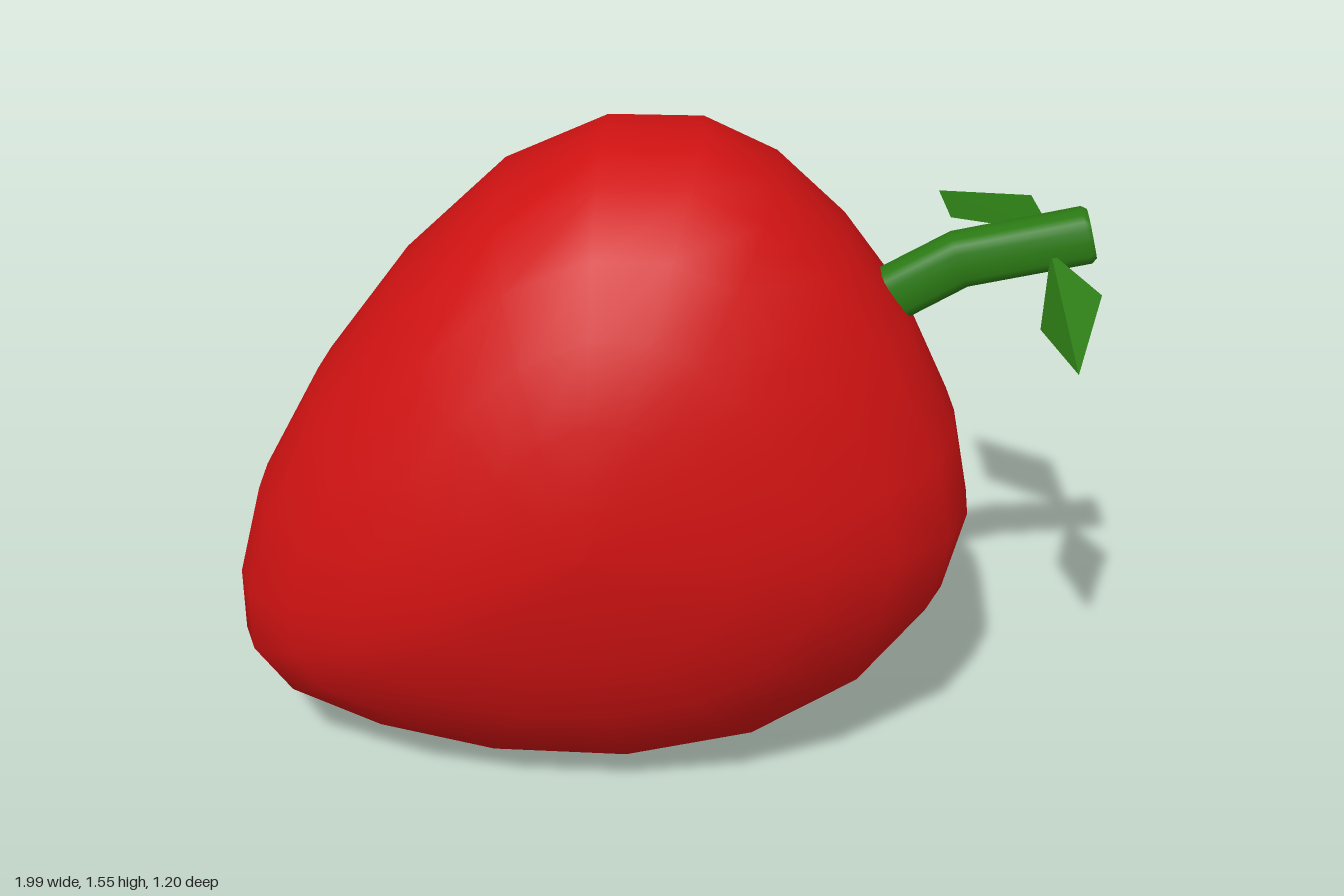
import * as THREE from 'three';

const red = new THREE.MeshStandardMaterial({ color: 0xd01212 });
const green = new THREE.MeshStandardMaterial({ color: 0x2b7a14 });
const leafGreen = new THREE.MeshStandardMaterial({ color: 0x2b7a14, side: THREE.DoubleSide });

// Skin closed rings of points into one surface; a repeated ring makes a crease
function loft(rings) {
  const n = rings[0].length, index = [];
  for (let i = 0; i < rings.length - 1; i++) {
    for (let j = 0; j < n; j++) {
      const a = i * n + j, b = i * n + (j + 1) % n;
      index.push(a, b, b + n, a, b + n, a + n);
    }
  }
  const geometry = new THREE.BufferGeometry().setFromPoints(rings.flat());
  geometry.setIndex(index);
  geometry.computeVertexNormals();
  return geometry;
}

function addMesh(group, name, geometry, material) {
  const mesh = new THREE.Mesh(geometry, material);
  mesh.name = name;
  group.add(mesh);
}

// Fruit: one leaning egg outline, shrunk towards its centre from front to back
function fruitGeometry() {
  const outline = [
    [-1, 0.45], [-1, 0.29], [-0.91, 0.17], [-0.69, 0.07], [-0.4, 0.005],
    [-0.06, 0], [0.26, 0.08], [0.52, 0.25], [0.68, 0.46], [0.73, 0.66],
    [0.69, 0.87], [0.57, 1.13], [0.43, 1.32], [0.27, 1.47], [0.1, 1.55],
    [-0.12, 1.55], [-0.36, 1.44], [-0.6, 1.21], [-0.8, 0.94], [-0.94, 0.68],
  ];
  const cx = -0.135, cy = 0.765;
  const sections = [ // z, scale
    [-0.6, 0], [-0.597, 0.14], [-0.57, 0.32], [-0.5, 0.52], [-0.38, 0.73], [-0.23, 0.905],
    [-0.09, 0.985], [0.03, 1], [0.15, 0.995], [0.285, 0.94], [0.41, 0.8], [0.505, 0.61],
    [0.565, 0.4], [0.595, 0.16], [0.6, 0],
  ];
  return loft(sections.map(([z, s]) => outline.map(([x, y]) =>
    new THREE.Vector3(cx + (x - cx) * s, cy + (y - cy) * s, z))));
}

// Stem: rounded-square section swept along a bent path, with flat ends
function stemGeometry() {
  const ring = (x, y, angle, size) => {
    const points = [];
    for (let j = 0; j < 16; j++) {
      const a = (j / 16) * Math.PI * 2;
      const round = (v) => Math.sign(v) * Math.pow(Math.abs(v), 0.7) * size;
      const u = round(Math.cos(a)) * 0.063, v = round(Math.sin(a)) * 0.055;
      points.push(new THREE.Vector3(x - Math.sin(angle) * u, y + Math.cos(angle) * u, 0.025 + v));
    }
    return points;
  };
  return loft([
    ring(0.53, 1.16, 0.55, 0), ring(0.53, 1.16, 0.55, 1), ring(0.53, 1.16, 0.55, 1),
    ring(0.68, 1.25, 0.36, 1),
    ring(0.96, 1.315, 0.25, 1), ring(0.972, 1.318, 0.25, 0.86),
    ring(0.972, 1.318, 0.25, 0.86), ring(0.972, 1.318, 0.25, 0),
  ]);
}

// Leaf: thin four-cornered blade, given as root, side, tip, side
function leafGeometry(corners) {
  const geometry = new THREE.BufferGeometry().setFromPoints(
    [0, 1, 2, 0, 2, 3].map((i) => new THREE.Vector3(...corners[i])));
  geometry.computeVertexNormals();
  return geometry;
}

export function createModel() {
  const group = new THREE.Group();
  group.name = 'fruit';
  addMesh(group, 'fruitBody', fruitGeometry(), red);
  addMesh(group, 'stem', stemGeometry(), green);
  addMesh(group, 'backLeaf', leafGeometry([
    [0.89, 1.3, -0.02], [0.87, 1.27, -0.32], [0.665, 1.2, -0.515], [0.675, 1.25, -0.22],
  ]), leafGreen);
  addMesh(group, 'frontLeaf', leafGeometry([
    [0.88, 1.285, 0.06], [0.855, 1.155, 0.19], [0.915, 1.16, 0.425], [0.98, 1.25, 0.21],
  ]), leafGreen);
  return group;
}
